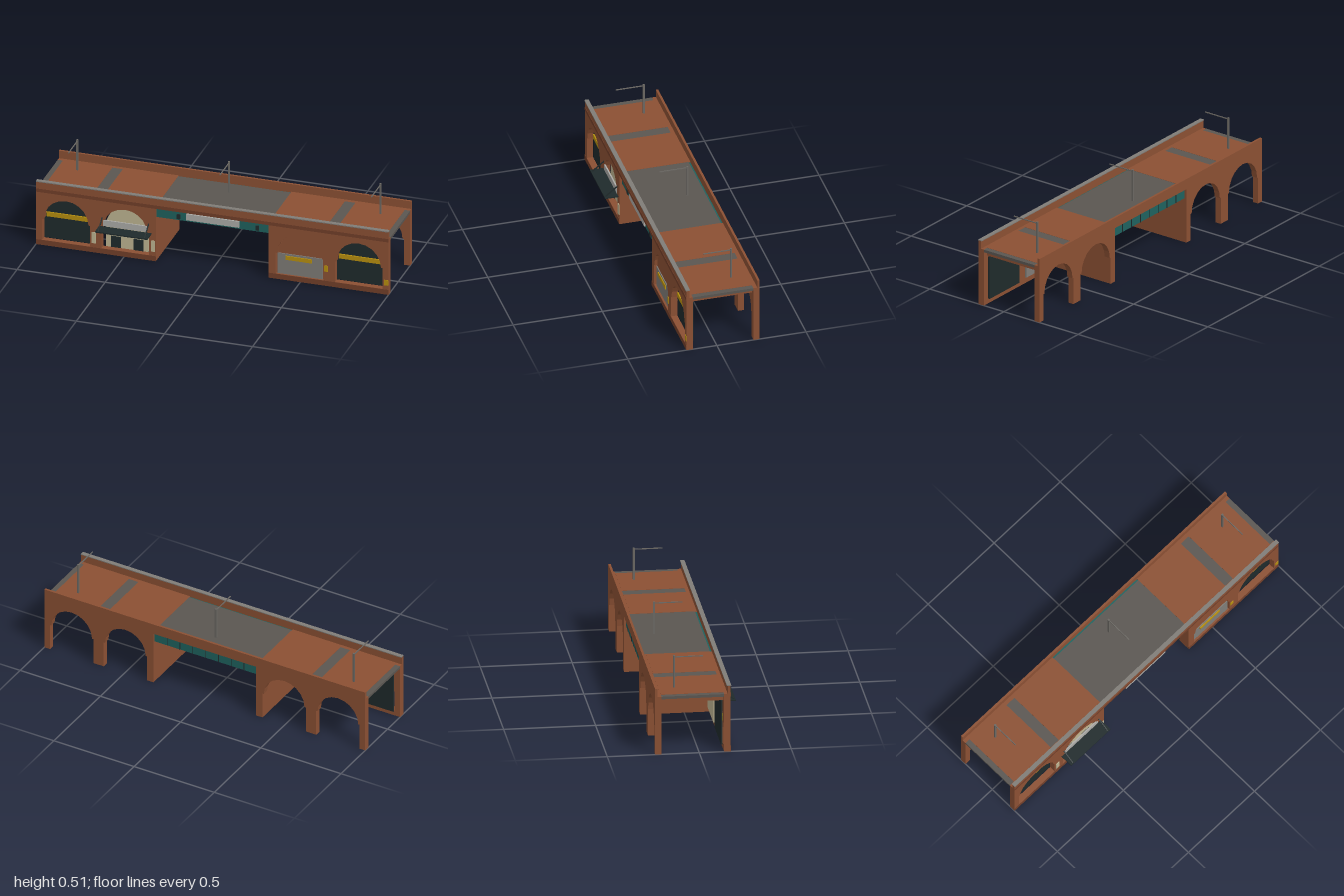
import * as THREE from 'three';

const mat = (name, color) => Object.assign(new THREE.MeshStandardMaterial({ color }), { name });

export function createModel() {
  const M = {
    brick: mat('brick', 0x8b5033),
    darkBrick: mat('dark brick', 0x733f29),
    deck: mat('deck grey', 0x5a5651),
    stone: mat('stone grey', 0x7f7c77),
    steel: mat('pole steel', 0x6b6863),
    dark: mat('dark shutter', 0x1f2a2b),
    teal: mat('teal paint', 0x1f625e),
    cream: mat('cream', 0xbfb592),
    yellow: mat('yellow sign', 0xb8900f),
    light: mat('light sign', 0xadaca8),
  };
  const model = new THREE.Group();
  const add = (name, geo, m) => {
    const mesh = new THREE.Mesh(geo, m);
    mesh.name = name;
    model.add(mesh);
    return mesh;
  };
  // Box given by its limits on each axis
  const box = (name, m, x0, x1, y0, y1, z0, z1) => {
    const g = new THREE.BoxGeometry(x1 - x0, y1 - y0, z1 - z0);
    g.translate((x0 + x1) / 2, (y0 + y1) / 2, (z0 + z1) / 2);
    return add(name, g, m);
  };
  const extrude = (name, m, shape, z0, z1) => {
    const g = new THREE.ExtrudeGeometry(shape, { depth: z1 - z0, bevelEnabled: false });
    g.translate(0, 0, z0);
    return add(name, g, m);
  };
  // Arched opening outline, left foot to right foot, with a small ledge at the springing
  const SPRING = 0.155, HALF = 0.135, RADIUS = 0.127, SEG = 10;
  const archPoints = (cx, base, half = HALF, r = RADIUS) => {
    const pts = [new THREE.Vector2(cx - half, base), new THREE.Vector2(cx - half, SPRING)];
    for (let i = 0; i <= SEG; i++) {
      const a = Math.PI * (1 - i / SEG);
      pts.push(new THREE.Vector2(cx + r * Math.cos(a), SPRING + r * Math.sin(a)));
    }
    pts.push(new THREE.Vector2(cx + half, SPRING), new THREE.Vector2(cx + half, base));
    return pts;
  };
  const FRONT = 0.17, FRONT_IN = 0.135, BACK = -0.24, BACK_IN = -0.205;

  // Two arched blocks either side of the road opening
  for (const s of [-1, 1]) {
    const [x0, x1] = s < 0 ? [-1, -0.32] : [0.32, 1];
    const centres = s < 0 ? [-0.83, -0.495] : [0.495, 0.83];

    // Front wall keeps a sill under each arch
    const front = new THREE.Shape([[x0, 0], [x1, 0], [x1, 0.33], [x0, 0.33]].map(p => new THREE.Vector2(...p)));
    for (const c of centres) front.holes.push(new THREE.Path(archPoints(c, 0.03)));
    extrude('frontWall', M.brick, front, FRONT_IN, FRONT);
    box('frontPlinth', M.darkBrick, x0, x1, 0, 0.03, FRONT, FRONT + 0.002);

    // Back wall arches run down to the ground
    const outline = [new THREE.Vector2(x0, 0)];
    for (const c of centres) outline.push(...archPoints(c, 0));
    outline.push(new THREE.Vector2(x1, 0), new THREE.Vector2(x1, 0.33), new THREE.Vector2(x0, 0.33));
    extrude('backWall', M.brick, new THREE.Shape(outline), BACK, BACK_IN);

    // Cross wall beside the road and brick ceilings over the bays
    const span = (a, b) => (s < 0 ? [-b, -a] : [a, b]);
    box('abutment', M.brick, ...span(0.32, 0.36), 0, 0.285, BACK_IN, FRONT_IN);
    box('innerBayCeiling', M.brick, ...span(0.32, 0.63), 0.285, 0.331, BACK_IN, FRONT_IN);
    box('outerBayCeiling', M.brick, ...span(0.69, 0.97), 0.285, 0.331, BACK_IN, FRONT_IN);

    // Outer shop shutter with its sign
    const c = s * 0.83;
    box('shutter', M.dark, c - 0.135, c + 0.135, 0.03, 0.278, 0.122, 0.132);
    box('shutterSign', M.yellow, c - 0.122, c + 0.122, 0.16, 0.186, 0.132, 0.14);
  }

  // Parapets, string course and coping
  box('frontParapet', M.brick, -1, 1, 0.33, 0.375, 0.155, FRONT);
  box('frontLintel', M.brick, -0.32, 0.32, 0.315, 0.33, 0.155, FRONT);
  box('stringCourse', M.darkBrick, -1, 1, 0.315, 0.335, FRONT, FRONT + 0.002);
  box('coping', M.stone, -1, 1, 0.375, 0.38, 0.15, 0.174);
  box('backParapet', M.brick, -1, 1, 0.33, 0.375, BACK, -0.227);
  box('backLintel', M.brick, -0.32, 0.32, 0.315, 0.33, BACK, -0.227);

  // Deck
  box('deck', M.deck, -1, 1, 0.315, 0.33, BACK_IN, FRONT_IN);
  box('bridgeDeck', M.deck, -0.32, 0.32, 0.3, 0.33, -0.217, 0.145);

  // Bridge girders
  box('frontGirder', M.teal, -0.32, 0.32, 0.26, 0.325, 0.145, 0.157);
  box('backGirder', M.teal, -0.32, 0.32, 0.26, 0.325, -0.229, -0.217);
  for (let i = 1; i < 8; i++) {
    const x = -0.32 + i * 0.08;
    box('girderRib', M.dark, x - 0.0015, x + 0.0015, 0.26, 0.315, -0.232, -0.229);
  }
  box('bridgeSign', M.light, -0.15, 0.15, 0.27, 0.307, 0.157, 0.166);
  for (const x of [-0.195, 0.252])
    box('girderPlate', M.dark, x - 0.009, x + 0.009, 0.268, 0.296, 0.157, 0.164);

  // Cafe front with doors and sign
  const CX = -0.495;
  extrude('cafeFront', M.cream, new THREE.Shape(archPoints(CX, 0.03, 0.121, 0.121)), 0.125, 0.135);
  for (const x of [-0.557, -0.43])
    box('cafeDoor', M.dark, x - 0.028, x + 0.028, 0.032, 0.097, 0.135, 0.14);
  box('cafeSign', M.light, CX - 0.125, CX + 0.125, 0.167, 0.202, 0.164, 0.172);

  // Awning with two sloping stays
  box('awning', M.dark, -0.642, -0.345, 0.157, 0.164, FRONT, 0.244);
  for (const x of [-0.625, -0.362]) {
    const stay = add('awningStay', new THREE.BoxGeometry(0.006, 0.005, 0.09), M.dark);
    stay.position.set(x, 0.189, 0.204);
    stay.rotation.x = Math.atan2(0.056, 0.07);
  }

  // Bricked-up arch with a lower panel
  const BX = 0.495;
  extrude('brickInfill', M.brick, new THREE.Shape(archPoints(BX, 0.03, 0.134, 0.124)), 0.14, 0.155);
  box('lowerPanel', M.stone, BX - 0.127, BX + 0.127, 0.03, 0.152, 0.132, 0.16);
  box('panelSign', M.yellow, 0.413, 0.562, 0.118, 0.141, 0.16, 0.165);

  // Small plates on the piers
  for (const [m, x, y, w, h] of [
    [M.cream, -0.673, 0.088, 0.024, 0.066], [M.cream, -0.335, 0.088, 0.022, 0.066],
    [M.yellow, 0.645, 0.103, 0.022, 0.036], [M.yellow, 0.987, 0.071, 0.024, 0.032],
  ]) box('pierPlate', m, x - w / 2, x + w / 2, y - h / 2, y + h / 2, FRONT, FRONT + 0.003);

  // Line-side posts with overhead arms
  for (const x of [-0.86, 0, 0.86]) {
    box('post', M.steel, x - 0.005, x + 0.005, 0.33, 0.513, -0.124, -0.114);
    box('postArm', M.steel, x - 0.0025, x + 0.0025, 0.502, 0.507, -0.114, 0.037);
  }
  return model;
}
